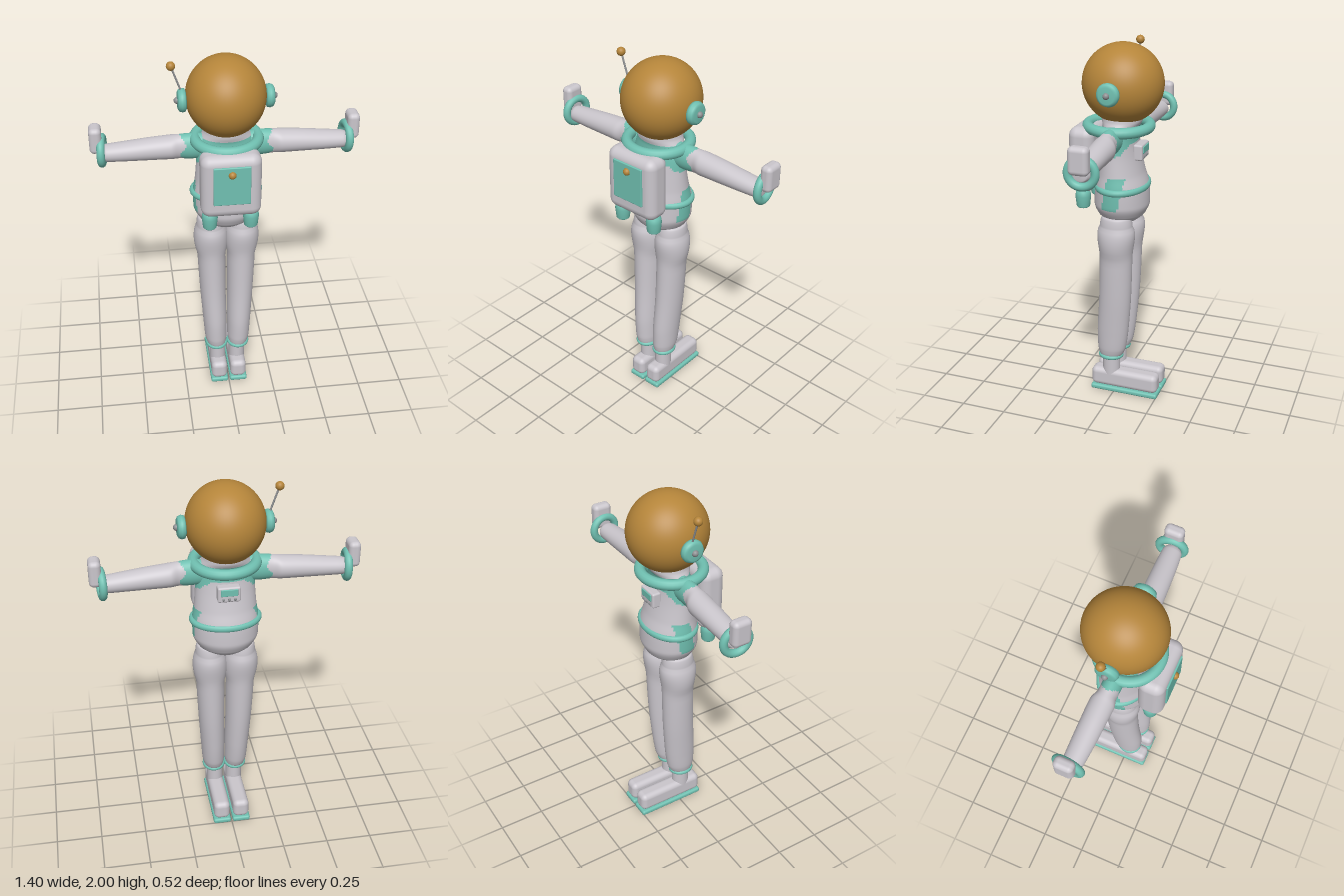
import * as THREE from 'three';
import { RoundedBoxGeometry } from 'three/addons/geometries/RoundedBoxGeometry.js';

const material = (name, color, side = THREE.FrontSide) => {
  const m = new THREE.MeshStandardMaterial({ color, side });
  m.name = name;
  return m;
};

export function createModel() {
  const suit = material('suit grey', 0xcac6cc, THREE.DoubleSide);
  const teal = material('teal trim', 0x70c0b1, THREE.DoubleSide);
  const gold = material('gold visor', 0xb5853a, THREE.DoubleSide);
  const metal = material('metal grey', 0x8e9092);

  const model = new THREE.Group();
  model.name = 'astronaut';

  const add = (name, geometry, mat, x = 0, y = 0, z = 0) => {
    const mesh = new THREE.Mesh(geometry, mat);
    mesh.name = name;
    mesh.position.set(x, y, z);
    model.add(mesh);
    return mesh;
  };
  const box = (name, mat, w, h, d, r, x, y, z) =>
    add(name, new RoundedBoxGeometry(w, h, d, 4, r), mat, x, y, z);
  const ring = (name, R, tube, x, y, z) =>
    add(name, new THREE.TorusGeometry(R, tube, 14, 48), teal, x, y, z);

  // Smooth tube through elliptical sections [x, y, z, ru, rv]; u and v are the section axes.
  // isTeal(point) picks the trim colour for each small face.
  function loft(name, sections, u, v, isTeal = () => false, rows = 60, cols = 64) {
    const centres = new THREE.CatmullRomCurve3(sections.map(s => new THREE.Vector3(s[0], s[1], s[2])));
    const radii = new THREE.CatmullRomCurve3(sections.map(s => new THREE.Vector3(s[3], s[4], 0)));
    const positions = [], points = [], faces = [[], []];
    for (let i = 0; i <= rows; i++) {
      const c = centres.getPoint(i / rows), r = radii.getPoint(i / rows);
      for (let j = 0; j < cols; j++) {
        const a = j / cols * Math.PI * 2;
        const p = c.clone().addScaledVector(u, r.x * Math.cos(a)).addScaledVector(v, r.y * Math.sin(a));
        points.push(p);
        positions.push(p.x, p.y, p.z);
      }
    }
    for (let i = 0; i < rows; i++) {
      for (let j = 0; j < cols; j++) {
        const k = (j + 1) % cols;
        const a = i * cols + j, b = i * cols + k, c = a + cols, d = b + cols;
        const mid = points[a].clone().add(points[d]).multiplyScalar(0.5);
        faces[isTeal(mid) ? 1 : 0].push(a, b, d, a, d, c);
      }
    }
    const g = new THREE.BufferGeometry();
    g.setAttribute('position', new THREE.Float32BufferAttribute(positions, 3));
    g.setIndex([...faces[0], ...faces[1]]);
    g.addGroup(0, faces[0].length, 0);
    g.addGroup(faces[0].length, faces[1].length, 1);
    g.computeVertexNormals();
    return add(name, g, [suit, teal]);
  }
  const X = new THREE.Vector3(1, 0, 0), Y = new THREE.Vector3(0, 1, 0), Z = new THREE.Vector3(0, 0, 1);
  const backZ = Z.clone().negate();

  // Torso with teal yoke and a teal patch on each hip
  loft('torso', [
    [0, 1.025, -0.02, 0.005, 0.005], [0, 1.05, -0.02, 0.085, 0.08], [0, 1.09, -0.02, 0.145, 0.125],
    [0, 1.15, -0.02, 0.175, 0.146], [0, 1.24, -0.02, 0.177, 0.142], [0, 1.32, -0.015, 0.166, 0.122],
    [0, 1.42, -0.01, 0.158, 0.104], [0, 1.5, -0.01, 0.155, 0.092], [0, 1.56, -0.015, 0.14, 0.092],
    [0, 1.6, -0.02, 0.118, 0.105], [0, 1.64, -0.02, 0.11, 0.105],
  ], X, backZ, p => {
    const side = Math.abs(p.x);
    const yoke = p.y > 1.49 - Math.max(0, side - 0.09) * 0.9 && p.y < 1.575;
    const lean = p.z + 0.02 + (p.y - 1.23) * 0.2;
    const patch = side > 0.1 && p.y > 1.14 && p.y < 1.32 && Math.abs(lean) < 0.045;
    return yoke || patch;
  }, 80, 72);
  const waist = ring('waistRing', 0.176, 0.018, 0, 1.245, -0.023);
  waist.rotation.x = Math.PI / 2;
  waist.scale.y = 0.75;
  ring('collar', 0.163, 0.029, 0, 1.565, 0).rotation.x = Math.PI / 2;

  // Helmet
  const helmet = add('helmet', new THREE.SphereGeometry(1, 64, 40, 0, Math.PI * 2, 0, 2.58), gold, 0, 1.79, -0.023);
  helmet.scale.set(0.205, 0.21, 0.214);

  // Antenna
  const base = new THREE.Vector3(-0.222, 1.82, -0.023), tip = new THREE.Vector3(-0.272, 1.963, -0.023);
  add('antennaRod', new THREE.TubeGeometry(new THREE.LineCurve3(base, tip), 1, 0.005, 10), metal);
  add('antennaBall', new THREE.SphereGeometry(0.023, 24, 16), gold, tip.x, tip.y, tip.z);

  // Backpack
  box('backpack', suit, 0.312, 0.352, 0.14, 0.05, 0, 1.393, 0.165);
  box('backpackPanel', teal, 0.19, 0.216, 0.014, 0.005, 0, 1.413, 0.237);
  add('backpackKnob', new THREE.SphereGeometry(0.02, 24, 16), gold, 0, 1.48, 0.243);

  // Chest control box
  box('chestBox', suit, 0.12, 0.085, 0.05, 0.01, 0, 1.44, -0.123);
  box('chestScreen', teal, 0.088, 0.038, 0.009, 0.003, 0, 1.454, -0.149);
  for (const x of [-0.03, 0, 0.03])
    box('chestButton', metal, 0.014, 0.014, 0.009, 0.003, x, 1.415, -0.149);

  const earProfile = [[0, -0.022], [0.045, -0.022], [0.058, -0.015], [0.061, 0], [0.055, 0.016], [0.042, 0.023], [0, 0.023]]
    .map(p => new THREE.Vector2(...p));
  const thrusterProfile = [[0, -0.055], [0.03, -0.053], [0.036, -0.046], [0.042, 0.01], [0.038, 0.035], [0.024, 0.052], [0, 0.057]]
    .map(p => new THREE.Vector2(...p));

  for (const s of [1, -1]) {
    // Ear discs
    add('earDisc', new THREE.LatheGeometry(earProfile, 40), teal, s * 0.222, 1.778, -0.02).rotation.z = -s * Math.PI / 2;
    add('earKnob', new THREE.SphereGeometry(0.017, 20, 14), metal, s * 0.246, 1.778, -0.02);

    // Thrusters under the backpack
    add('thruster', new THREE.LatheGeometry(thrusterProfile, 32), teal, s * 0.108, 1.18, 0.163);

    // Arm, teal at the shoulder, with cuff and hand
    loft('arm', [
      [s * 0.1, 1.52, -0.015, 0.065, 0.05], [s * 0.18, 1.52, -0.015, 0.07, 0.05],
      [s * 0.24, 1.52, -0.018, 0.066, 0.05], [s * 0.29, 1.517, -0.022, 0.063, 0.064],
      [s * 0.4, 1.512, -0.025, 0.058, 0.062], [s * 0.52, 1.505, -0.028, 0.051, 0.058],
      [s * 0.615, 1.5, -0.031, 0.045, 0.052], [s * 0.635, 1.5, -0.031, 0.036, 0.04],
      [s * 0.64, 1.5, -0.031, 0.002, 0.002],
    ], Y, s > 0 ? Z : backZ, p => Math.abs(p.x) < 0.225 + 0.015 * Math.sin(p.y * 60));
    const cuff = ring('wristCuff', 0.068, 0.021, s * 0.637, 1.51, -0.042);
    cuff.rotation.y = Math.PI / 2 + s * 0.1;
    box('hand', suit, 0.064, 0.14, 0.104, 0.025, s * 0.666, 1.58, -0.043);

    // Leg, ankle and boot
    loft('leg', [
      [s * 0.085, 1.095, -0.017, 0.03, 0.03], [s * 0.086, 1.085, -0.016, 0.068, 0.078],
      [s * 0.086, 1.03, -0.015, 0.077, 0.09], [s * 0.083, 0.85, -0.013, 0.077, 0.09],
      [s * 0.077, 0.6, -0.005, 0.072, 0.09], [s * 0.069, 0.4, 0.01, 0.067, 0.089],
      [s * 0.065, 0.28, 0.018, 0.062, 0.08], [s * 0.062, 0.235, 0.023, 0.052, 0.064],
      [s * 0.06, 0.225, 0.024, 0.01, 0.01],
    ], X, Z);
    const ankleRing = ring('ankleRing', 0.052, 0.012, s * 0.062, 0.23, 0.024);
    ankleRing.rotation.x = Math.PI / 2;
    ankleRing.scale.y = 1.12;
    add('ankle', new THREE.CylinderGeometry(0.045, 0.045, 0.12, 32), suit, s * 0.056, 0.17, 0.024).scale.z = 1.1;
    box('boot', suit, 0.09, 0.11, 0.39, 0.03, s * 0.055, 0.085, -0.06);
    box('sole', teal, 0.1, 0.03, 0.394, 0.012, s * 0.055, 0.018, -0.062);
  }
  return model;
}
